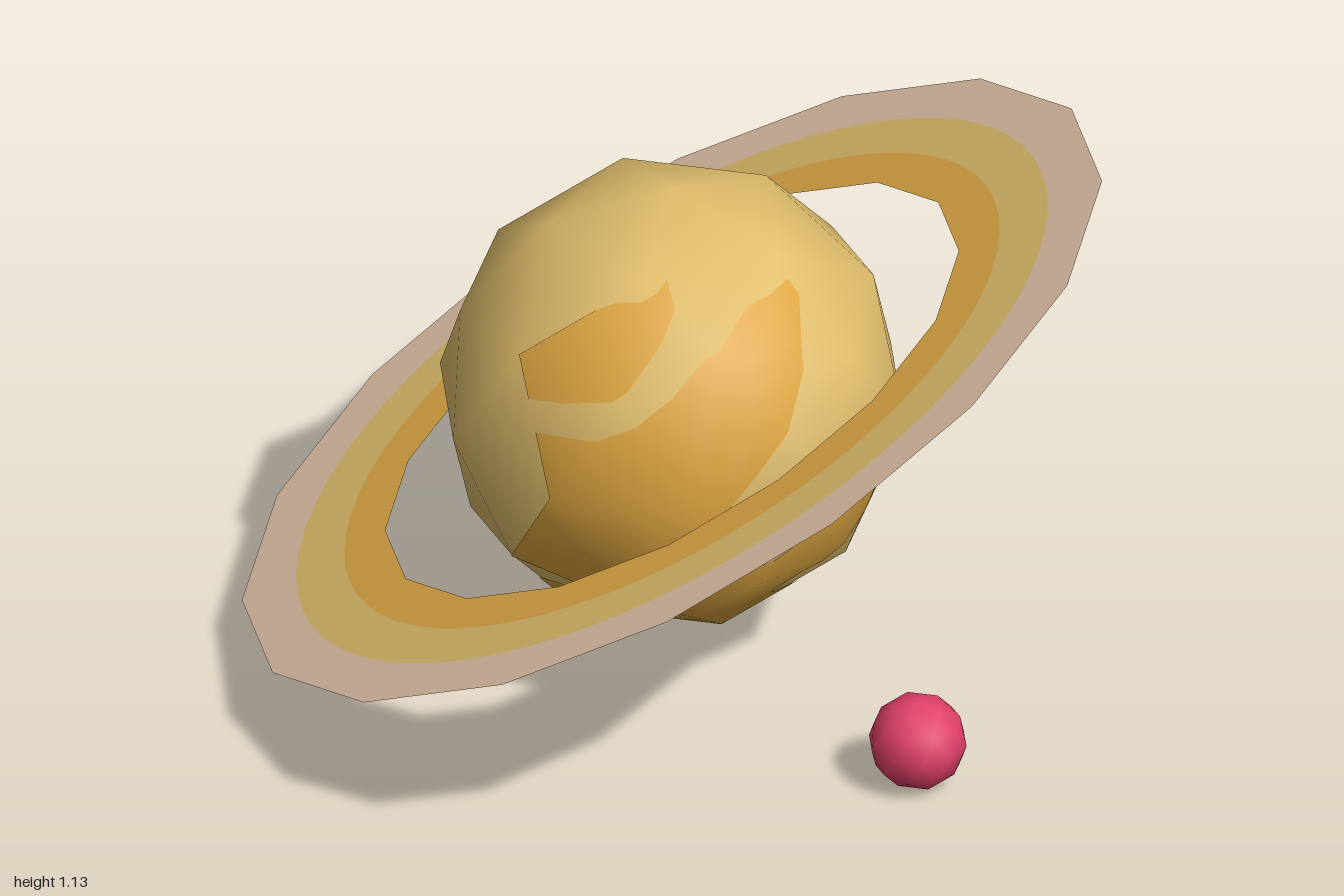
import * as THREE from 'three';

const paint = (name, color, side = THREE.FrontSide) => {
  const m = new THREE.MeshStandardMaterial({ color, side });
  m.name = name;
  return m;
};

const CENTRE_Y = 0.62, RADIUS = 0.51;

// Low-poly ball with a corner at each pole and smooth normals
function ballGeometry(radius) {
  const g = new THREE.IcosahedronGeometry(radius, 1);
  g.rotateZ(-Math.atan(2 / (1 + Math.sqrt(5))));
  return g;
}

function addMesh(parent, name, geometry, material) {
  const mesh = new THREE.Mesh(geometry, material);
  mesh.name = name;
  parent.add(mesh);
  return mesh;
}

// Cuts a convex 3D polygon with a counter-clockwise triangle seen along z
function clip(poly, tri) {
  for (let i = 0; i < 3 && poly.length; i++) {
    const a = tri[i], b = tri[(i + 1) % 3], out = [];
    const side = p => (b.x - a.x) * (p.y - a.y) - (b.y - a.y) * (p.x - a.x);
    poly.forEach((p, k) => {
      const q = poly[(k + 1) % poly.length], sp = side(p), sq = side(q);
      if (sp >= 0) out.push(p);
      if ((sp >= 0) !== (sq >= 0)) out.push(p.clone().lerp(q, sp / (sp - sq)));
    });
    poly = out;
  }
  return poly;
}

// Lays a front-view outline onto the front faces of the ball
function patchGeometry(ball, outline) {
  const contour = outline.map(([x, y]) => new THREE.Vector2(x, y - CENTRE_Y));
  if (THREE.ShapeUtils.isClockWise(contour)) contour.reverse();
  const tris = THREE.ShapeUtils.triangulateShape(contour, []).map(f => {
    const t = f.map(i => contour[i]);
    return THREE.ShapeUtils.area(t) < 0 ? t.reverse() : t;
  });
  const src = ball.attributes.position, pos = [], nor = [];
  for (let f = 0; f < src.count; f += 3) {
    const face = [0, 1, 2].map(k => new THREE.Vector3().fromBufferAttribute(src, f + k));
    const normal = new THREE.Triangle(...face).getNormal(new THREE.Vector3());
    if (normal.z < 0.02) continue;
    for (const tri of tris) {
      const poly = clip(face, tri);
      for (let k = 1; k + 1 < poly.length; k++) {
        for (const p of [poly[0], poly[k], poly[k + 1]]) {
          pos.push(...p.clone().multiplyScalar(1.005).toArray());
          nor.push(...p.clone().normalize().toArray());
        }
      }
    }
  }
  const g = new THREE.BufferGeometry();
  g.setAttribute('position', new THREE.Float32BufferAttribute(pos, 3));
  g.setAttribute('normal', new THREE.Float32BufferAttribute(nor, 3));
  return g;
}

const circle = (radius, sides) => Array.from({ length: sides }, (_, i) => {
  const a = (i / sides) * Math.PI * 2;
  return new THREE.Vector2(Math.cos(a) * radius, Math.sin(a) * radius);
});

export function createModel() {
  const model = new THREE.Group();
  model.name = 'ringedPlanet';
  const yellow = paint('planet yellow', 0xe0be6c);
  const orange = paint('cloud orange', 0xdca540);
  const ringYellow = paint('ring yellow', 0xdebe6c, THREE.DoubleSide);
  const ringOrange = paint('ring orange', 0xdfa945, THREE.DoubleSide);
  const ringPink = paint('ring beige pink', 0xdec0a6, THREE.DoubleSide);
  const pink = paint('moon pink', 0xe0406a);

  // Planet with painted cloud patches
  const planet = new THREE.Group();
  planet.name = 'planet';
  planet.position.y = CENTRE_Y;
  model.add(planet);
  const ball = ballGeometry(RADIUS);
  addMesh(planet, 'planetBody', ball, yellow);
  const patches = {
    upperStreak: [[-0.5, 0.84], [-0.44, 0.89], [-0.36, 0.95], [-0.27, 1.01], [-0.17, 1.05],
      [-0.19, 1.01], [-0.25, 0.95], [-0.33, 0.89], [-0.42, 0.82], [-0.5, 0.78]],
    middleCloud: [[-0.52, 0.72], [-0.42, 0.76], [-0.33, 0.83], [-0.2, 0.92], [-0.05, 0.99],
      [0.07, 1.01], [0.08, 0.98], [0.03, 0.91], [-0.03, 0.82], [-0.08, 0.75], [-0.15, 0.68],
      [-0.23, 0.61], [-0.27, 0.52], [-0.34, 0.44], [-0.39, 0.36], [-0.52, 0.42]],
    lowerCloud: [[-0.38, 0.31], [-0.31, 0.37], [-0.21, 0.47], [-0.13, 0.57], [-0.08, 0.61],
      [-0.06, 0.56], [-0.07, 0.5], [-0.13, 0.44], [-0.03, 0.47], [0.1, 0.5], [0.24, 0.53],
      [0.26, 0.5], [0.22, 0.46], [0.12, 0.39], [0.01, 0.34], [-0.02, 0.28], [0.07, 0.29],
      [0.16, 0.28], [0.13, 0.24], [0.02, 0.2], [-0.1, 0.16], [-0.27, 0.17]],
  };
  for (const [name, outline] of Object.entries(patches))
    addMesh(planet, name, patchGeometry(ball, outline), orange);

  // Tilted flat ring: sixteen-sided rims, round colour bands
  const ring = new THREE.Group();
  ring.name = 'ring';
  const u = new THREE.Vector3(1, 0.315, -0.138).normalize();
  const n = u.clone().cross(new THREE.Vector3(0, -0.41, -0.97)).normalize();
  ring.quaternion.setFromRotationMatrix(
    new THREE.Matrix4().makeBasis(u, n.clone().cross(u), n));
  ring.position.y = CENTRE_Y;
  model.add(ring);
  const rims = [circle(0.704, 16), circle(0.805, 64), circle(0.923, 64), circle(1.056, 16)];
  [['innerBand', ringOrange], ['middleBand', ringYellow], ['outerBand', ringPink]]
    .forEach(([name, material], i) => {
      const shape = new THREE.Shape(rims[i + 1]);
      shape.holes.push(new THREE.Path(rims[i]));
      addMesh(ring, name, new THREE.ShapeGeometry(shape), material);
    });

  // Small moon in front
  addMesh(model, 'moon', ballGeometry(0.107), pink).position.set(0, 0.11, 0.8);
  return model;
}
